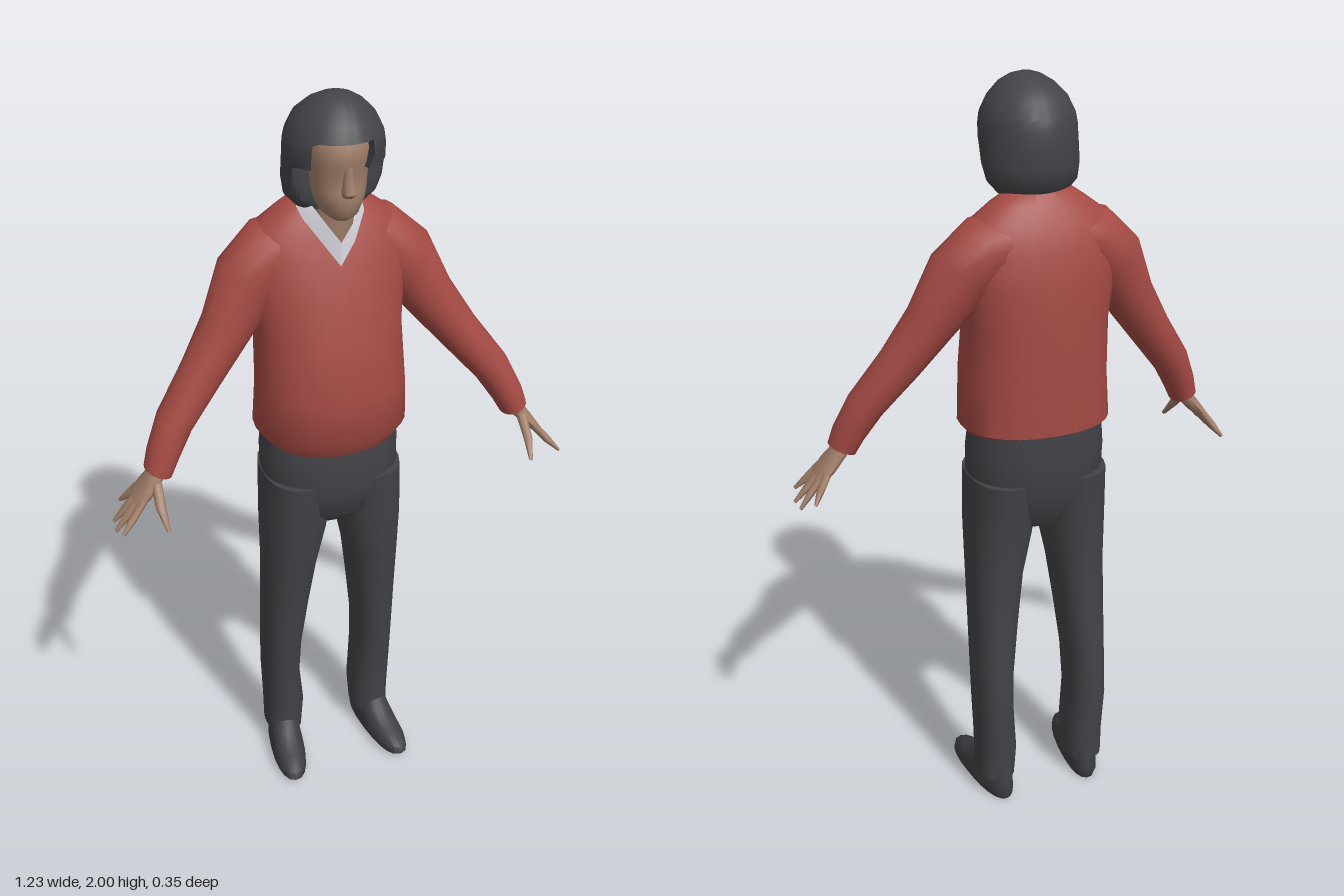
import * as THREE from 'three';
import { toCreasedNormals } from 'three/addons/utils/BufferGeometryUtils.js';

const mat = (name, color, side = THREE.FrontSide) => {
  const m = new THREE.MeshStandardMaterial({ color, side });
  m.name = name;
  return m;
};

// Loft through rows [x, y, z, radius across, radius in z]; power > 2 squares the section
function loft(rows, n = 20, power = 2, warp = null, crease = 0.9) {
  const pos = [], idx = [], last = rows.length - 1;
  const bend = v => Math.sign(v) * Math.abs(v) ** (2 / power);
  rows.forEach(([x, y, z, ru, rv], i) => {
    const a = rows[Math.max(i - 1, 0)], b = rows[Math.min(i + 1, last)];
    const t = new THREE.Vector2(b[0] - a[0], b[1] - a[1]).normalize();
    for (let k = 0; k < n; k++) {
      const ang = (k / n) * Math.PI * 2, c = bend(Math.cos(ang)) * ru;
      const p = new THREE.Vector3(x + t.y * c, y - t.x * c, z + bend(Math.sin(ang)) * rv);
      if (warp) warp(p);
      pos.push(p.x, p.y, p.z);
    }
  });
  for (let i = 0; i < last; i++) for (let k = 0; k < n; k++) {
    const a = i * n + k, b = i * n + (k + 1) % n;
    idx.push(a, a + n, b, b, a + n, b + n);
  }
  // end caps
  for (const end of [0, last]) {
    const c = pos.length / 3;
    pos.push(...rows[end].slice(0, 3));
    for (let k = 0; k < n; k++) {
      const a = end * n + k, b = end * n + (k + 1) % n;
      if (end) idx.push(c, b, a); else idx.push(c, a, b);
    }
  }
  const g = new THREE.BufferGeometry();
  g.setAttribute('position', new THREE.Float32BufferAttribute(pos, 3));
  g.setIndex(idx);
  return toCreasedNormals(g, crease);
}

// Level sections written as [y, centre x, half width, front z, back z]
const level = rows => rows.map(([y, x, rx, f, b]) => [x, y, (f + b) / 2, rx, (f - b) / 2]);

export function createModel() {
  const model = new THREE.Group();
  const red = mat('sweater red', 0xa54a44), charcoal = mat('trouser charcoal', 0x434247);
  const hairGrey = mat('hair dark grey', 0x424448), skin = mat('skin', 0xa27f6a);
  const white = mat('shirt white', 0xdfdfe6, THREE.DoubleSide), shoeBlack = mat('shoe charcoal', 0x3e3d42);
  const add = (name, geo, material, parent = model) => {
    const m = new THREE.Mesh(geo, material);
    m.name = name;
    parent.add(m);
    return m;
  };
  const X = -0.015; // body centre line

  // Sweater body, hem rising towards the back
  add('sweaterBody', loft(level([
    [1.08, X, 0.178, 0.13, -0.155], [1.125, X, 0.2, 0.155, -0.17], [1.25, X, 0.192, 0.17, -0.173],
    [1.4, X, 0.188, 0.135, -0.173], [1.5, X, 0.2, 0.105, -0.168], [1.6, X, 0.212, 0.072, -0.152],
    [1.66, X, 0.185, 0.045, -0.13], [1.705, X, 0.125, 0.025, -0.105], [1.737, X, 0.078, -0.005, -0.08],
  ]), 28, 2.25, p => { if (p.y < 1.1) p.y += 0.04 * (0.13 - p.z) / 0.28; }), red);

  // Trouser seat
  add('trouserSeat', loft(level([
    [0.84, X, 0.1, 0.07, -0.1], [0.88, X, 0.15, 0.105, -0.125], [0.95, X, 0.183, 0.12, -0.145],
    [1.05, X, 0.184, 0.122, -0.155], [1.14, X, 0.175, 0.11, -0.155],
  ]), 28, 2.3), charcoal);

  for (const s of [1, -1]) {
    const side = s > 0 ? 'left' : 'right';

    // Trouser legs, flaring slightly at the hem
    add(side + 'TrouserLeg', loft(level([
      [0.98, 0.098, 0.088, 0.115, -0.145], [0.83, 0.105, 0.086, 0.105, -0.128], [0.7, 0.118, 0.072, 0.085, -0.117],
      [0.55, 0.128, 0.062, 0.063, -0.122], [0.4, 0.137, 0.053, 0.045, -0.13], [0.28, 0.139, 0.051, 0.032, -0.138],
      [0.15, 0.132, 0.056, 0.02, -0.122], [0.06, 0.135, 0.052, 0.015, -0.118],
    ].map(r => [r[0], X + s * r[1], ...r.slice(2)])), 20, 2.4), charcoal);

    // Shoe, toe turned outwards
    const shoe = add(side + 'Shoe', loft(level([
      [0, 0, 0.04, 0.205, -0.075], [0.015, 0, 0.048, 0.222, -0.08], [0.035, 0, 0.047, 0.215, -0.08],
      [0.055, 0, 0.044, 0.165, -0.076], [0.08, 0, 0.043, 0.095, -0.072], [0.12, 0, 0.04, 0.06, -0.06],
    ]), 20, 2.3), shoeBlack);
    shoe.position.set(X + s * 0.135, 0, -0.053);
    shoe.rotation.y = s * 0.13;

    // Sleeve and hand, the mirror line easing from the body centre to x = 0
    const limb = rows => rows.map(([x, ...r]) => [s * x - 0.02 * Math.max(0, 1 - x / 0.5), ...r]);
    add(side + 'Sleeve', loft(limb([
      [0.06, 1.615, -0.048, 0.075, 0.085], [0.135, 1.597, -0.046, 0.088, 0.092], [0.2, 1.535, -0.038, 0.088, 0.083],
      [0.27, 1.42, -0.018, 0.067, 0.066], [0.345, 1.315, 0, 0.056, 0.06], [0.43, 1.205, 0.025, 0.049, 0.052],
      [0.47, 1.13, 0.043, 0.042, 0.05], [0.487, 1.088, 0.05, 0.037, 0.046],
    ]), 18), red);

    const hand = new THREE.Group();
    hand.name = side + 'Hand';
    model.add(hand);
    add('palm', loft(limb([
      [0.475, 1.115, 0.048, 0.022, 0.028], [0.495, 1.08, 0.052, 0.02, 0.035],
      [0.525, 1.045, 0.055, 0.017, 0.048], [0.552, 1.015, 0.055, 0.012, 0.046],
    ]), 12, 2.3), skin, hand);
    // finger roots and tips
    [[0.09, 0.6, 0.962, 0.122], [0.067, 0.612, 0.945, 0.075], [0.043, 0.608, 0.945, 0.03], [0.02, 0.58, 0.972, -0.02]]
      .forEach(([z, tx, ty, tz], i) => add('finger' + (i + 1), loft(limb([
        [0.535, 1.035, z, 0.011, 0.013], [(0.545 + tx) / 2, (1.02 + ty) / 2, (z + tz) / 2, 0.01, 0.012], [tx, ty, tz, 0.004, 0.006],
      ]), 8), skin, hand));
    add('thumb', loft(limb([
      [0.5, 1.075, 0.075, 0.014, 0.02], [0.502, 1.025, 0.125, 0.013, 0.015], [0.495, 0.98, 0.167, 0.005, 0.007],
    ]), 8), skin, hand);
  }

  // Neck and face, sections following the profile from chin to forehead
  const H = -0.01;
  add('neck', loft(level([
    [1.6, X, 0.058, 0.045, -0.07], [1.68, H, 0.054, 0.062, -0.06], [1.78, H, 0.056, 0.06, -0.06],
  ])), skin);
  add('head', loft(level([
    [1.708, H, 0.028, 0.095, -0.02], [1.725, H, 0.046, 0.115, -0.05], [1.745, H, 0.057, 0.117, -0.06],
    [1.765, H, 0.064, 0.125, -0.07], [1.785, H, 0.069, 0.12, -0.075], [1.83, H, 0.074, 0.119, -0.08],
    [1.855, H, 0.076, 0.129, -0.08], [1.9, H, 0.076, 0.128, -0.08], [1.94, H, 0.06, 0.1, -0.06],
  ]), 24, 2.3), skin);
  add('nose', loft(level([
    [1.778, H, 0.014, 0.135, 0.1], [1.79, H, 0.019, 0.15, 0.1], [1.82, H, 0.012, 0.137, 0.1], [1.855, H, 0.009, 0.128, 0.1],
  ]), 8), skin);

  // Hair, set back behind the face with a fringe swept to the left
  add('hair', loft(level([
    [1.722, H, 0.09, 0.05, -0.082], [1.75, H, 0.114, 0.08, -0.105], [1.79, H, 0.121, 0.11, -0.115],
    [1.835, H, 0.121, 0.135, -0.116], [1.845, H, 0.121, 0.142, -0.116], [1.88, H, 0.12, 0.147, -0.114],
    [1.904, H, 0.116, 0.145, -0.108], [1.91, H, 0.114, 0.143, -0.106], [1.945, H, 0.097, 0.125, -0.086],
    [1.975, H, 0.068, 0.1, -0.045], [1.992, H, 0.04, 0.07, -0.008], [2, H, 0.014, 0.04, 0.018],
  ]), 48, 2, p => {
    const faceOpening = p.y < 1.84 || (p.y < 1.908 && p.x > -0.088 && p.x < 0.036);
    if (faceOpening) p.z = Math.min(p.z, 0.045);
  }), hairGrey);

  // Shirt collar: outer and inner edges of one half, mirrored
  const outer = [[0, 1.588, 0.086], [0.04, 1.645, 0.074], [0.078, 1.7, 0.03], [0.086, 1.73, -0.03], [0, 1.742, -0.092]];
  const inner = [[0, 1.65, 0.088], [0.03, 1.692, 0.082], [0.058, 1.735, 0.035], [0.062, 1.752, -0.03], [0, 1.758, -0.075]];
  for (const s of [1, -1]) {
    const pts = outer.flatMap((o, i) => [o, inner[i]]).flatMap(([x, y, z]) => [X + s * x, y, z]);
    const idx = [];
    for (let i = 0; i < outer.length - 1; i++) {
      const a = 2 * i, q = [a, a + 2, a + 1, a + 1, a + 2, a + 3];
      idx.push(...(s > 0 ? q : q.reverse()));
    }
    const g = new THREE.BufferGeometry();
    g.setAttribute('position', new THREE.Float32BufferAttribute(pts, 3));
    g.setIndex(idx);
    g.computeVertexNormals();
    add(s > 0 ? 'leftCollar' : 'rightCollar', g, white);
  }
  return model;
}
